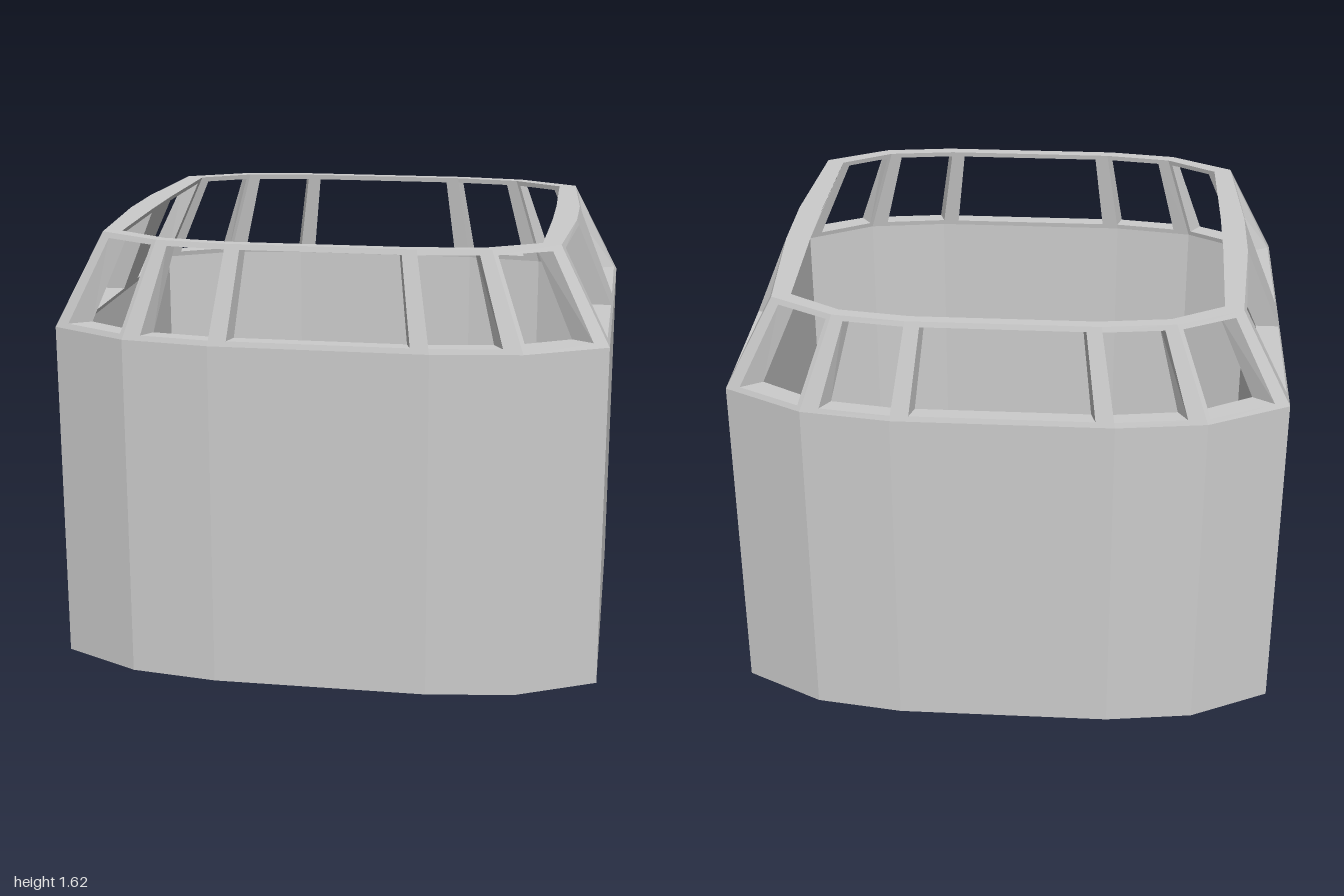
import * as THREE from 'three';

const SILL = 1.27, TOP = 1.62;

// One quarter of each plan outline [x, z], from the side post round to the front mullion
const sillOuter = [[1, 0.095], [1, 0.68], [0.71, 0.83], [0.39, 0.875]];
const sillInner = [[0.915, 0.095], [0.915, 0.635], [0.67, 0.775], [0.37, 0.82]];
const topOuter = [[0.855, 0.145], [0.82, 0.64], [0.59, 0.765], [0.335, 0.8]];
const topInner = [[0.765, 0.145], [0.755, 0.615], [0.57, 0.725], [0.32, 0.76]];

// Window openings as fractions along a panel: bottom start/end, top start/end
const openings = {
  side: [0, 0.9, 0, 0.91],
  corner: [0.16, 0.95, 0.16, 0.94],
  quarter: [0.2, 1, 0.18, 1],
  front: [0.083, 0.917, 0.08, 0.92],
  sidePost: null,
};
const V0 = 0.055, V1 = 0.945;

// Mirror a quarter outline into a closed ring at height y
function ring(quarter, y) {
  const back = [...quarter].reverse();
  const put = (pts, sx, sz) => pts.map(([x, z]) => new THREE.Vector3(sx * x, y, sz * z));
  return [...put(quarter, 1, 1), ...put(back, -1, 1), ...put(quarter, -1, -1), ...put(back, 1, -1)];
}

// Collects flat quads, corners counter-clockwise from the visible side
function quadBuilder() {
  const pos = [];
  const tri = (a, b, c) => {
    const area = b.clone().sub(a).cross(c.clone().sub(a)).length();
    if (area > 1e-7) for (const p of [a, b, c]) pos.push(p.x, p.y, p.z);
  };
  return {
    quad(a, b, c, d) { tri(a, b, c); tri(a, c, d); },
    mesh(name, material) {
      const g = new THREE.BufferGeometry();
      g.setAttribute('position', new THREE.Float32BufferAttribute(pos, 3));
      g.computeVertexNormals();
      const m = new THREE.Mesh(g, material);
      m.name = name;
      return m;
    },
  };
}

// Point on a panel with corners b0, b1 (bottom) and t0, t1 (top)
const onPanel = ([b0, b1, t0, t1], u, v) =>
  b0.clone().lerp(b1, u).lerp(t0.clone().lerp(t1, u), v);

// Thick panel with a four-sided window opening
function addPanel(q, outer, inner, hole) {
  const [a, b, c, d] = hole;
  const rim = [[0, 0], [1, 0], [1, 1], [0, 1]];
  const cut = [[a, V0], [b, V0], [d, V1], [c, V1]];
  const at = (panel, pts) => pts.map(([u, v]) => onPanel(panel, u, v));
  const oRim = at(outer, rim), oCut = at(outer, cut);
  const iRim = at(inner, rim), iCut = at(inner, cut);
  for (let i = 0; i < 4; i++) {
    const j = (i + 1) % 4;
    q.quad(oRim[j], oRim[i], oCut[i], oCut[j]); // outside face
    q.quad(iRim[i], iRim[j], iCut[j], iCut[i]); // inside face
    q.quad(oCut[j], oCut[i], iCut[i], iCut[j]); // reveal
  }
}

export function createModel() {
  const group = new THREE.Group();
  const material = new THREE.MeshStandardMaterial({ color: 0xcccccc, flatShading: true });

  const fo = ring(sillOuter, 0), fi = ring(sillInner, 0);
  const so = ring(sillOuter, SILL), si = ring(sillInner, SILL);
  const to = ring(topOuter, TOP), ti = ring(topInner, TOP);
  const n = so.length;

  // Panel kinds going once round the ring
  const half = ['side', 'corner', 'quarter', 'front', 'quarter', 'corner', 'side', 'sidePost'];
  const kinds = [...half, ...half];

  const wall = quadBuilder(), topRing = quadBuilder();
  const frames = {};
  for (let i = 0; i < n; i++) {
    const j = (i + 1) % n;
    // Lower wall: outside, inside and bottom edge
    wall.quad(fo[j], fo[i], so[i], so[j]);
    wall.quad(fi[i], fi[j], si[j], si[i]);
    wall.quad(fo[i], fo[j], fi[j], fi[i]);
    // Flat cap along the upper edge
    topRing.quad(to[j], to[i], ti[i], ti[j]);

    // Sloping window frames and solid side posts
    const kind = kinds[i];
    const q = (frames[kind] ??= quadBuilder());
    const hole = openings[kind];
    if (!hole) {
      q.quad(so[j], so[i], to[i], to[j]);
      q.quad(si[i], si[j], ti[j], ti[i]);
    } else {
      const mirrored = i % 8 > 3;
      const [a, b, c, d] = hole;
      addPanel(q, [so[i], so[j], to[i], to[j]], [si[i], si[j], ti[i], ti[j]],
        mirrored ? [1 - b, 1 - a, 1 - d, 1 - c] : hole);
    }
  }

  group.add(wall.mesh('lowerWall', material), topRing.mesh('topRing', material));
  for (const [kind, q] of Object.entries(frames)) {
    group.add(q.mesh(kind === 'sidePost' ? 'sidePosts' : `${kind}WindowFrames`, material));
  }
  return group;
}
